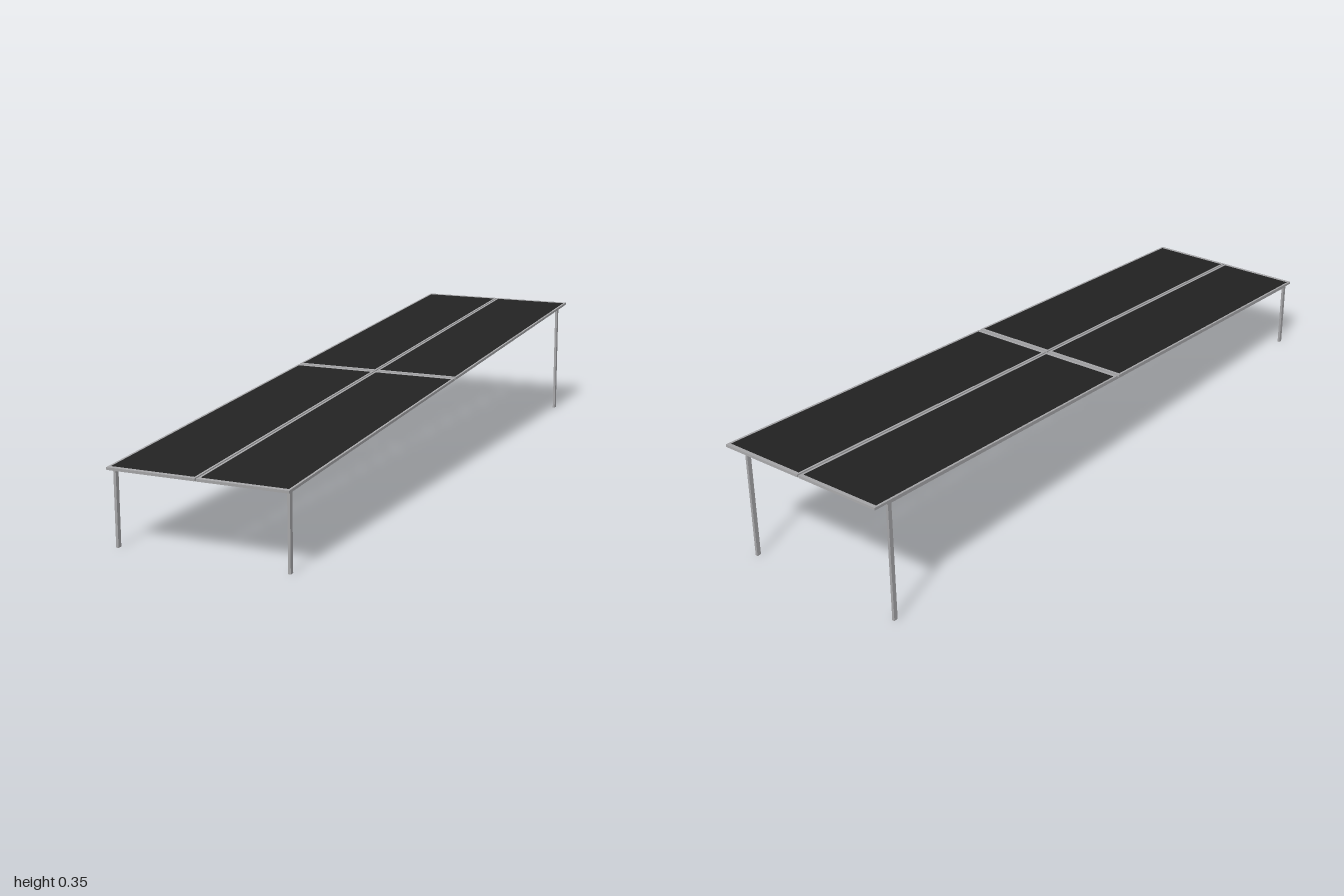
import * as THREE from 'three';

export function createModel() {
  const model = new THREE.Group();
  model.name = 'solarPanelTable';

  const cellBlack = new THREE.MeshStandardMaterial({ color: 0x222222 });
  cellBlack.name = 'cellBlack';
  const metalGrey = new THREE.MeshStandardMaterial({ color: 0xa6a6a8 });
  metalGrey.name = 'metalGrey';

  const addBox = (parent, name, material, size, position) => {
    const mesh = new THREE.Mesh(new THREE.BoxGeometry(...size), material);
    mesh.name = name;
    mesh.position.set(...position);
    parent.add(mesh);
    return mesh;
  };

  // Sloping deck: its local y = 0 is the top face of the panels
  const slope = Math.atan(0.0725);
  const deckY = 0.2795;
  const deck = new THREE.Group();
  deck.name = 'deck';
  deck.position.y = deckY;
  deck.rotation.x = slope;
  model.add(deck);

  // Four framed panels in a 2 x 2 layout
  const halfW = 0.247, halfL = 1.0025;
  const gapX = 0.004, gapZ = 0.006, thick = 0.007;
  const w = halfW - gapX / 2, l = halfL - gapZ / 2;
  const rimX = 0.006, rimZ = 0.011;

  const rect = (target, a, b) => target
    .moveTo(-a, -b).lineTo(a, -b).lineTo(a, b).lineTo(-a, b).closePath();
  const frameShape = rect(new THREE.Shape(), w / 2, l / 2);
  frameShape.holes.push(rect(new THREE.Path(), w / 2 - rimX, l / 2 - rimZ));
  const frameGeometry = new THREE.ExtrudeGeometry(frameShape, { depth: thick, bevelEnabled: false });
  frameGeometry.rotateX(Math.PI / 2);

  for (const sx of [-1, 1]) {
    for (const sz of [-1, 1]) {
      const panel = new THREE.Group();
      panel.name = 'panel';
      panel.position.set(sx * (gapX + w) / 2, 0, sz * (gapZ + l) / 2);
      const frame = new THREE.Mesh(frameGeometry, metalGrey);
      frame.name = 'panelFrame';
      panel.add(frame);
      addBox(panel, 'panelCells', cellBlack,
        [w - 2 * rimX, thick - 0.001, l - 2 * rimZ], [0, -thick / 2, 0]);
      deck.add(panel);
    }
  }

  // Long side rails and cross bars under the panels
  const legX = [-0.2385, 0.2335];
  const frontZ = 0.972, backZ = -0.944;
  const railH = 0.007, railY = -thick - railH / 2;
  const railLength = frontZ - backZ + 0.02;
  for (const x of legX) {
    addBox(deck, 'sideRail', metalGrey, [0.007, railH, railLength],
      [x, railY, (frontZ + backZ) / 2]);
  }
  const span = legX[1] - legX[0] - 0.007;
  const midX = (legX[0] + legX[1]) / 2;
  for (const z of [frontZ, 0.085, -0.09, backZ]) {
    addBox(deck, 'crossBar', metalGrey, [span, railH, 0.024], [midX, railY, z]);
  }

  // Upright legs, short in front and tall behind
  for (const [name, z] of [['frontLeg', frontZ], ['backLeg', backZ]]) {
    const height = deckY - z * Math.tan(slope) - thick - railH / 2;
    for (const x of legX) {
      addBox(model, name, metalGrey, [0.007, height, 0.012], [x, height / 2, z]);
    }
  }
  return model;
}
